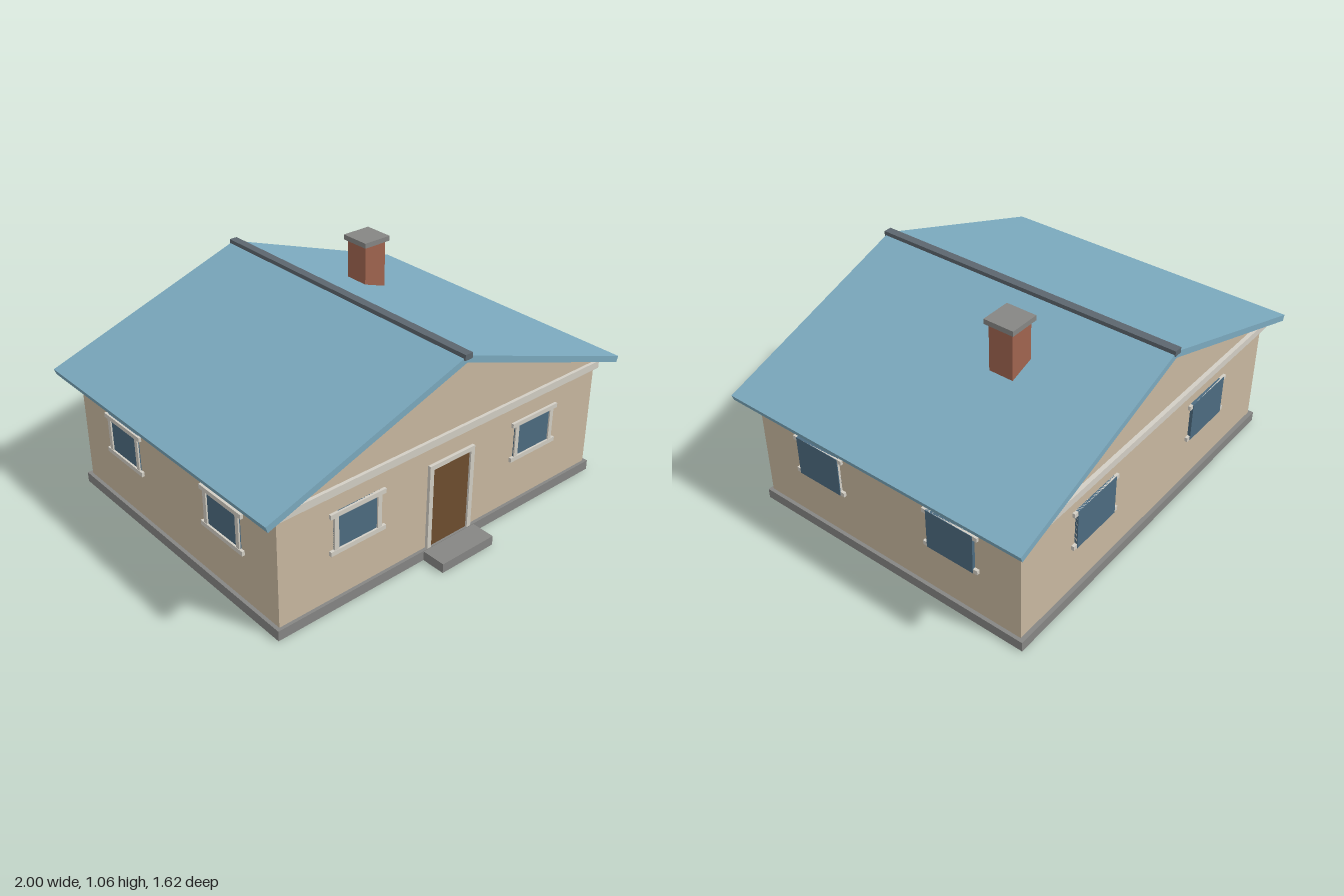
import * as THREE from 'three';

const mat = (color) => new THREE.MeshStandardMaterial({ color });

export function createModel() {
  const house = new THREE.Group();
  house.name = 'house';
  const wall = mat(0xc8b8a0), trim = mat(0xd2cec4), roof = mat(0x7ba9be), glass = mat(0x4c6b80);
  const stone = mat(0x868684), wood = mat(0x6e4d2e), brick = mat(0xa0644f), ridge = mat(0x5c666e);

  // Box given by its extents along each axis
  const box = (name, material, [x0, x1], [y0, y1], [z0, z1], parent = house) => {
    const mesh = new THREE.Mesh(new THREE.BoxGeometry(x1 - x0, y1 - y0, z1 - z0), material);
    mesh.position.set((x0 + x1) / 2, (y0 + y1) / 2, (z0 + z1) / 2);
    mesh.name = name;
    parent.add(mesh);
    return mesh;
  };

  // Front-facing outline extruded along z
  const prism = (name, material, points, z0, z1) => {
    const shape = new THREE.Shape(points.map(([x, y]) => new THREE.Vector2(x, y)));
    const mesh = new THREE.Mesh(
      new THREE.ExtrudeGeometry(shape, { depth: z1 - z0, bevelEnabled: false }), material);
    mesh.position.z = z0;
    mesh.name = name;
    house.add(mesh);
  };

  // Base, doorstep, walls and the band below the roof
  box('foundation', stone, [-0.925, 0.925], [0, 0.048], [-0.755, 0.695]);
  box('doorstep', stone, [-0.15, 0.15], [0, 0.045], [0.67, 0.81]);
  box('walls', wall, [-0.908, 0.908], [0.04, 0.56], [-0.735, 0.68]);
  box('eavesBand', trim, [-0.925, 0.925], [0.548, 0.583], [-0.755, 0.695]);
  prism('gables', wall, [[-0.905, 0.58], [0.905, 0.58], [0, 0.918]], -0.735, 0.68);

  // Roof slabs and ridge cap
  for (const s of [-1, 1]) {
    prism(s > 0 ? 'leftRoof' : 'rightRoof', roof,
      [[0, 0.915], [0.99 * s, 0.573], [s, 0.601], [0, 0.946]], -0.805, 0.742);
  }
  box('ridgeCap', ridge, [-0.02, 0.02], [0.932, 0.958], [-0.81, 0.75]);

  // Chimney
  box('chimney', brick, [0.285, 0.405], [0.78, 1.035], [-0.3, -0.18]);
  box('chimneyCap', stone, [0.271, 0.419], [1.033, 1.057], [-0.314, -0.166]);

  // Door with frame
  box('door', wood, [-0.108, 0.108], [0.048, 0.438], [0.67, 0.685]);
  for (const s of [-1, 1]) {
    box('doorJamb', trim, [s * 0.119 - 0.011, s * 0.119 + 0.011], [0.048, 0.46], [0.67, 0.695]);
  }
  box('doorLintel', trim, [-0.13, 0.13], [0.438, 0.46], [0.67, 0.695]);

  // Window facing +z, turned to its wall; the pane sits inside or over the frame
  const addWindow = (x, z, turn, halfWidth, paneDepth, y = 0.373) => {
    const g = new THREE.Group();
    g.name = 'window';
    const h = 0.098, t = 0.021, w = halfWidth;
    box('pane', glass, [-w, w], [-h, h], [-0.01, paneDepth], g);
    for (const s of [-1, 1]) {
      const bx = s * (w - t / 2), by = s * (h - t / 2);
      box('frameSide', trim, [bx - t / 2, bx + t / 2], [-h, h], [-0.01, 0.011], g);
      box('frameBar', trim, [-w - t, w + t], [by - t / 2, by + t / 2], [-0.01, 0.013], g);
    }
    g.position.set(x, y, z);
    g.rotation.y = turn;
    house.add(g);
  };
  for (const s of [-1, 1]) {
    addWindow(s * 0.513, 0.68, 0, 0.122, 0.004, 0.366);
    addWindow(s * 0.43, -0.735, Math.PI, 0.132, 0.015);
  }
  for (const z of [0.332, -0.391]) {
    addWindow(0.908, z, Math.PI / 2, 0.119, 0.015);
    addWindow(-0.908, z, -Math.PI / 2, 0.119, 0.004);
  }
  return house;
}
